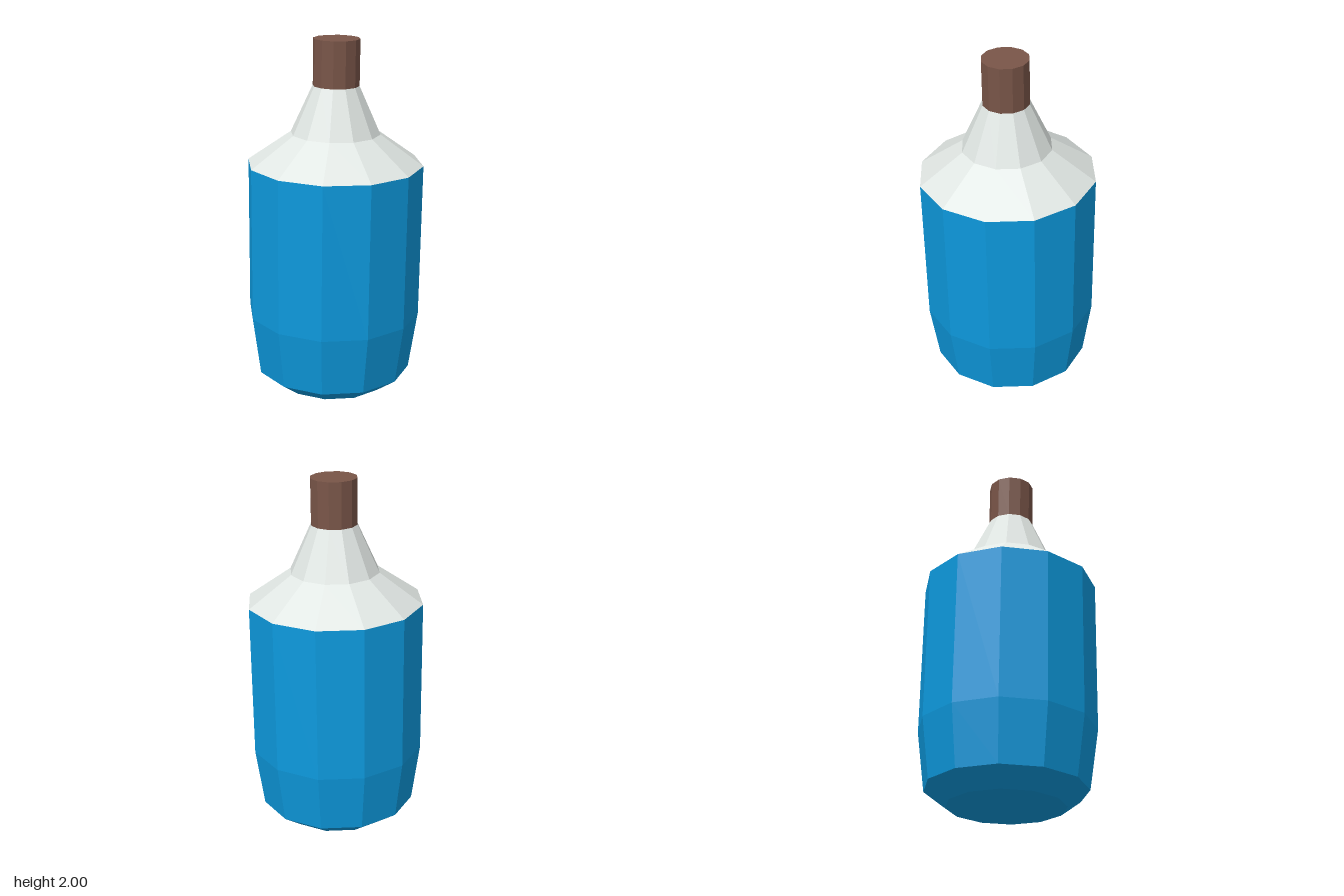
import * as THREE from 'three';

const SIDES = 12;
const PHASE = THREE.MathUtils.degToRad(-3);
const MID = 1.002; // height of the pivot the bottle leans about

// Faceted turned part from [radius, height] pairs, bottom to top
function turned(name, color, profile) {
  const points = profile.map(([r, y]) => new THREE.Vector2(r, y - MID));
  const geometry = new THREE.LatheGeometry(points, SIDES, PHASE);
  const material = new THREE.MeshStandardMaterial({ color, flatShading: true, side: THREE.DoubleSide });
  const mesh = new THREE.Mesh(geometry, material);
  mesh.name = name;
  return mesh;
}

export function createModel() {
  const model = new THREE.Group();
  model.name = 'bottle';

  const bottle = new THREE.Group();
  bottle.name = 'leaningBottle';
  bottle.add(
    // Closed base, chamfer, tapered lower wall and straight upper wall
    turned('body', 0x0d99dd, [[0, 0.007], [0.325, 0.007], [0.445, 0.097], [0.492, 0.435], [0.492, 1.307]]),
    // Sloping shoulder rising into the narrow neck
    turned('shoulderAndNeck', 0xe0e6e3, [[0.492, 1.307], [0.25, 1.477], [0.129, 1.742]]),
    // Solid stopper
    turned('cork', 0x795548, [[0, 1.742], [0.129, 1.742], [0.129, 1.998], [0, 1.998]])
  );

  // Slight lean to the left and forward
  bottle.rotation.set(0.006, 0, -0.019);
  bottle.position.y = MID;
  model.add(bottle);
  return model;
}
